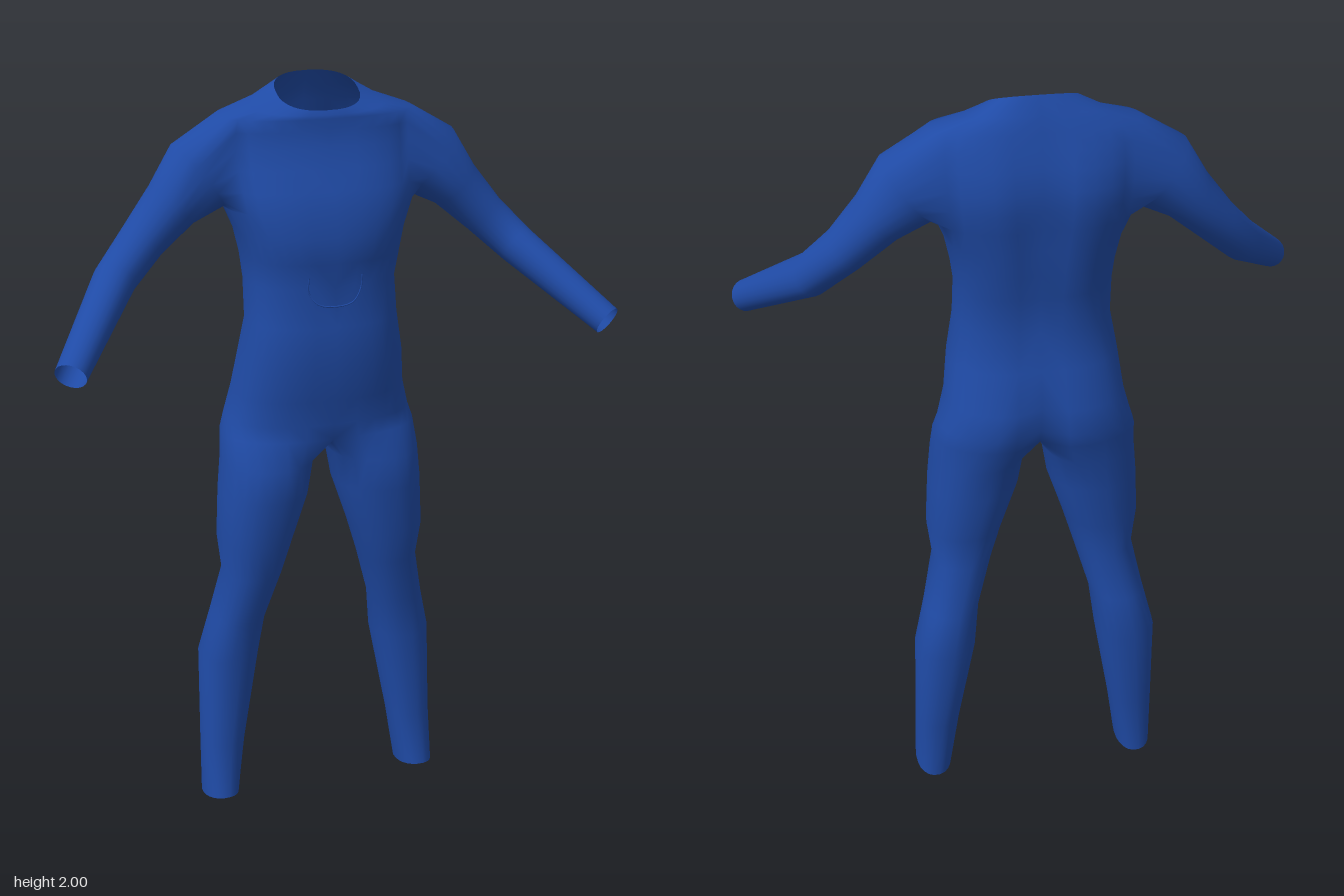
import * as THREE from 'three';
import { mergeGeometries, mergeVertices } from 'three/addons/utils/BufferGeometryUtils.js';

const V = (x, y, z) => new THREE.Vector3(x, y, z);
const spow = (v, p) => Math.sign(v) * Math.abs(v) ** p;
const ROUND = 0.8; // below 1 squares the torso sections off
const LOOP = 22;   // points around a sleeve or leg

// Torso sections: height, half width, front z, back z, back dent, rise to the back
const TORSO = [
  [1.09, 0.26, 0.068, -0.22, 0.05, 0],
  [1.13, 0.247, 0.064, -0.23, 0.045, 0],
  [1.2, 0.228, 0.08, -0.23, 0.03, 0],
  [1.3, 0.215, 0.095, -0.195, 0.01, 0],
  [1.4, 0.197, 0.095, -0.175, 0.008, 0],
  [1.5, 0.195, 0.077, -0.19, 0.012, 0],
  [1.565, 0.203, 0.098, -0.205, 0.018, 0],
  [1.63, 0.217, 0.1, -0.215, 0.022, 0],
  [1.69, 0.242, 0.09, -0.225, 0.025, 0],
  [1.74, 0.25, 0.075, -0.232, 0.025, 0],
  [1.79, 0.255, 0.05, -0.232, 0.025, 0],
  [1.84, 0.258, 0.032, -0.218, 0.02, 0],
  [1.88, 0.258, 0.022, -0.203, 0.015, 0],
  [1.915, 0.252, 0.022, -0.185, 0.008, 0.006],
  [1.938, 0.17, 0.021, -0.168, 0, 0.02],
  [1.965, 0.106, 0.015, -0.145, 0, 0.036],
];
const ARM_LOW = 8, ARM_HIGH = 13, ARM_FRONT = 5, ARM_BACK = 11; // armhole limits

// Leg sections: height, inner x, outer x, front z, back z, rise to the front
const LEG = [
  [1.02, 0.025, 0.266, 0.08, -0.19, 0],
  [0.93, 0.04, 0.275, 0.076, -0.18, 0],
  [0.8, 0.083, 0.282, 0.06, -0.162, 0],
  [0.7, 0.113, 0.27, 0.038, -0.15, 0],
  [0.56, 0.154, 0.3, 0.006, -0.172, 0],
  [0.44, 0.168, 0.33, -0.015, -0.19, 0],
  [0.175, 0.215, 0.336, -0.025, -0.152, 0],
  [0.014, 0.24, 0.338, 0, -0.15, 0.014],
];

// Arm sections: centre, radius up, radius forward
const ARM = [
  [0.305, 1.77, -0.083, 0.1, 0.09],
  [0.375, 1.703, -0.08, 0.07, 0.081],
  [0.455, 1.62, -0.066, 0.057, 0.067],
  [0.535, 1.54, -0.025, 0.052, 0.06],
  [0.695, 1.382, 0.202, 0.039, 0.042],
];

// Left half of a torso section, from front middle to back middle
function torsoRow([y, w, zf, zb, dent, rise]) {
  return Array.from({ length: 17 }, (_, j) => {
    const a = j / 16 * Math.PI, c = spow(Math.cos(a), ROUND);
    const x = j % 16 ? w * Math.sin(a) ** ROUND : 0;
    const z = (zf + zb) / 2 + (zf - zb) / 2 * c;
    return V(x, y - rise * c, z + (c < 0 ? dent * Math.exp(-((x / 0.05) ** 2)) : 0));
  });
}

function legRing([y, x0, x1, zf, zb, rise]) {
  return Array.from({ length: LOOP }, (_, k) => {
    const a = (k - 8) / LOOP * Math.PI * 2, s = -Math.sin(a);
    return V((x0 + x1) / 2 + (x1 - x0) / 2 * spow(Math.cos(a), 0.9), y + rise * s,
      (zf + zb) / 2 + (zf - zb) / 2 * spow(s, 0.9));
  });
}

function armRing([x, y, z, up, fwd], i) {
  const at = (n) => V(...(n < 0 ? [0.235, 1.81, -0.09] : ARM[Math.min(n, ARM.length - 1)].slice(0, 3)));
  const d = at(i + 1).sub(at(i - 1)).normalize();
  const w = V(0, 0, 1).addScaledVector(d, -d.z).normalize();
  const u = w.clone().cross(d);
  return Array.from({ length: LOOP }, (_, k) => {
    const a = k / LOOP * Math.PI * 2;
    return V(x, y, z).addScaledVector(u, up * Math.cos(a)).addScaledVector(w, fwd * Math.sin(a));
  });
}

// Triangles between neighbouring rings; skip leaves holes
function loft(rings, closed, skip = () => false) {
  const pos = [], n = rings[0].length;
  for (let i = 0; i + 1 < rings.length; i++) {
    for (let j = 0; j < (closed ? n : n - 1); j++) {
      if (skip(i, j)) continue;
      const k = (j + 1) % n, lo = rings[i], hi = rings[i + 1];
      for (const p of [lo[j], lo[k], hi[k], lo[j], hi[k], hi[j]]) pos.push(p.x, p.y, p.z);
    }
  }
  return new THREE.BufferGeometry().setAttribute('position', new THREE.Float32BufferAttribute(pos, 3));
}

// Mirror across x = 0 and turn the triangles back outward
function mirrored(geo) {
  const g = geo.clone(), p = g.attributes.position, a = p.array;
  for (let i = 0; i < a.length; i += 9) {
    for (let c = 0; c < 3; c++) [a[i + 3 + c], a[i + 6 + c]] = [a[i + 6 + c], a[i + 3 + c]];
  }
  for (let i = 0; i < p.count; i++) p.setX(i, -p.getX(i));
  return g;
}

// Front surface of the torso at a given x and y
function frontZ(x, y) {
  const i = TORSO.findIndex((r) => r[0] > y), lo = TORSO[i - 1], hi = TORSO[i];
  const t = (y - lo[0]) / (hi[0] - lo[0]);
  const [, w, zf, zb] = lo.map((v, k) => v + (hi[k] - v) * t);
  return (zf + zb) / 2 + (zf - zb) / 2 * (1 - Math.abs(x / w) ** (2 / ROUND)) ** (ROUND / 2);
}

export function createModel() {
  const suit = new THREE.Group();
  suit.name = 'bodysuit';
  const material = new THREE.MeshStandardMaterial({ color: 0x1f4aa5, side: THREE.DoubleSide });

  // Torso half with an armhole
  const rows = TORSO.map(torsoRow);
  const torso = loft(rows, false, (i, j) =>
    i >= ARM_LOW && i < ARM_HIGH && j >= ARM_FRONT && j < ARM_BACK);

  // Sleeve, grown from the edge of the armhole
  const hole = [];
  for (let j = 8; j > ARM_FRONT; j--) hole.push(rows[ARM_HIGH][j]);
  for (let i = ARM_HIGH; i > ARM_LOW; i--) hole.push(rows[i][ARM_FRONT]);
  for (let j = ARM_FRONT; j < ARM_BACK; j++) hole.push(rows[ARM_LOW][j]);
  for (let i = ARM_LOW; i < ARM_HIGH; i++) hole.push(rows[i][ARM_BACK]);
  for (let j = ARM_BACK; j > 8; j--) hole.push(rows[ARM_HIGH][j]);
  const arm = loft([hole, ...ARM.map(armRing)], true);

  // Leg, grown from the lowest torso row and the crotch seam
  const hip = [...rows[0]], front = rows[0][0], back = rows[0][16];
  for (let k = 1; k <= 5; k++) {
    const p = back.clone().lerp(front, k / 6);
    p.y -= 0.03 * Math.sin(k / 6 * Math.PI);
    hip.push(p);
  }
  const leg = loft([hip, ...LEG.map(legRing)].reverse(), true);

  // Weld everything for smooth normals, then share the vertices between named parts
  const parts = [
    ['torsoLeft', torso], ['torsoRight', mirrored(torso)],
    ['leftSleeve', arm], ['rightSleeve', mirrored(arm)],
    ['leftLeg', leg], ['rightLeg', mirrored(leg)],
  ];
  const whole = mergeVertices(mergeGeometries(parts.map((p) => p[1])), 1e-5);
  whole.computeVertexNormals();
  let start = 0;
  for (const [name, part] of parts) {
    const count = part.attributes.position.count;
    const geo = new THREE.BufferGeometry();
    geo.setAttribute('position', whole.attributes.position);
    geo.setAttribute('normal', whole.attributes.normal);
    geo.setIndex(Array.from(whole.index.array.slice(start, start + count)));
    start += count;
    const mesh = new THREE.Mesh(geo, material);
    mesh.name = name;
    suit.add(mesh);
  }

  // U-shaped seam on the belly
  const seamPath = [[-0.07, 1.53], [-0.068, 1.49], [-0.045, 1.46], [0, 1.452],
    [0.045, 1.46], [0.068, 1.49], [0.07, 1.53]].map(([x, y]) => V(x, y, frontZ(x, y)));
  const seam = new THREE.Mesh(
    new THREE.TubeGeometry(new THREE.CatmullRomCurve3(seamPath), 32, 0.002, 6), material);
  seam.name = 'bellySeam';
  suit.add(seam);
  return suit;
}
